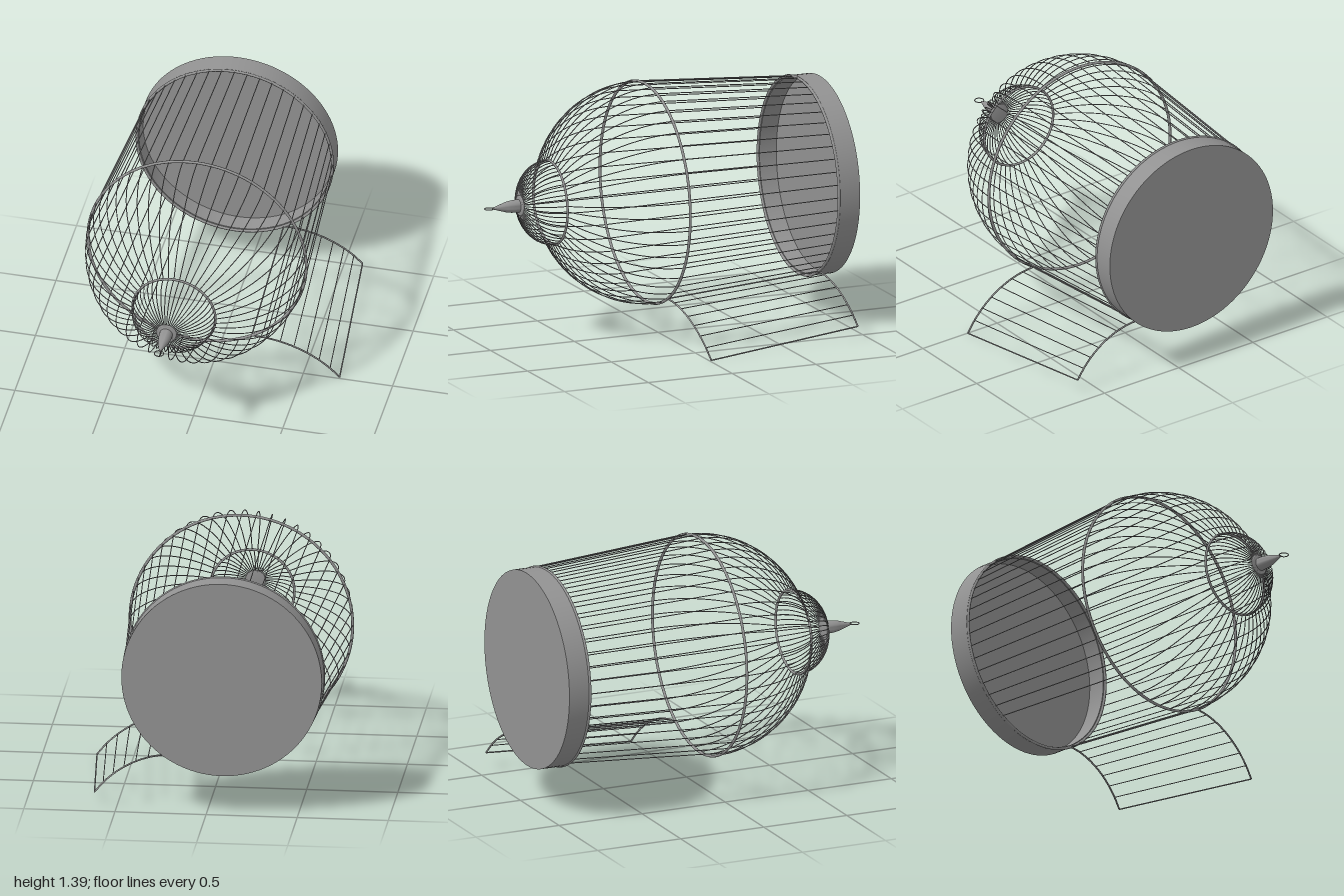
import * as THREE from 'three';
import { mergeGeometries, toCreasedNormals } from 'three/addons/utils/BufferGeometryUtils.js';

const COUNT = 48, STEP = (Math.PI * 2) / COUNT;
const WIRE = 0.0027;
const R_BASE = 0.548, Z_BASE = -0.875;   // where the bars meet the tray
const R_MID = 0.611, Z_MID = 0.04;       // widest hoop
const R_NECK = 0.232, Z_NECK = 0.605;    // hoop under the small dome
const HINGE = -Math.PI / 3, DOOR_BARS = 7;

const material = new THREE.MeshStandardMaterial({ color: 0x929292, side: THREE.DoubleSide });

export function createModel() {
  const model = new THREE.Group();
  model.name = 'birdcage';
  const cage = new THREE.Group();
  cage.name = 'cage';
  cage.position.set(-0.085, 0.775, 0);
  model.add(cage);

  const add = (name, geometry, parent = cage) => {
    const mesh = new THREE.Mesh(geometry, material);
    mesh.name = name;
    parent.add(mesh);
    return mesh;
  };
  // Point at a radius and angle around the cage axis (z)
  const polar = (r, a, z) => new THREE.Vector3(r * Math.cos(a), r * Math.sin(a), z);
  const rod = (a, b, r = WIRE) => new THREE.TubeGeometry(new THREE.LineCurve3(a, b), 1, r, 6);
  const wire = (points, r = WIRE) =>
    new THREE.TubeGeometry(new THREE.CatmullRomCurve3(points), 20, r, 6);
  const lathe = (pts, seg) => toCreasedNormals(
    new THREE.LatheGeometry(pts.map(p => new THREE.Vector2(...p)), seg).rotateX(Math.PI / 2), 0.6);
  const hoop = (name, r, z, tube) =>
    add(name, new THREE.TorusGeometry(r, tube, 8, 96).translate(0, 0, z));

  // Shallow tray with a thin wall
  add('baseTray', lathe([[0, -1], [0.55, -1], [0.55, -0.88], [0.537, -0.88],
    [0.537, -0.98], [0, -0.98]], 96));

  hoop('baseHoop', R_BASE, Z_BASE, 0.008);
  hoop('middleHoop', R_MID, Z_MID, 0.008);
  hoop('neckHoop', R_NECK, Z_NECK, 0.007);
  hoop('crownHoop', 0.05, 0.787, 0.007);

  // Bars, leaving the doorway open next to the hinge
  const side = [], dome = [], crown = [];
  const domeEnd = Math.acos(R_NECK / R_MID), crownEnd = Math.acos(0.05 / R_NECK);
  for (let i = 0; i < COUNT; i++) {
    const a = HINGE - i * STEP;
    if (i === 0 || i > DOOR_BARS) side.push(rod(polar(R_BASE, a, Z_BASE), polar(R_MID, a, Z_MID)));
    const big = [], small = [];
    for (let k = 0; k <= 8; k++) {
      const t = (domeEnd * k) / 8, u = (crownEnd * k) / 8;
      big.push(polar(R_MID * Math.cos(t), a, Z_MID + (Z_NECK - Z_MID) * Math.sin(t) / Math.sin(domeEnd)));
      small.push(polar(R_NECK * Math.cos(u), a, Z_NECK + 0.185 * Math.sin(u)));
    }
    dome.push(wire(big));
    crown.push(wire(small));
  }
  add('sideBars', mergeGeometries(side));
  add('domeBars', mergeGeometries(dome));
  add('crownBars', mergeGeometries(crown));

  // Pointed finial and hanging loop
  add('finial', lathe([[0, 0.775], [0.05, 0.78], [0.052, 0.792], [0.036, 0.796],
    [0.034, 0.84], [0.029, 0.87], [0.004, 0.952], [0, 0.953]], 24));
  add('hangingLoop', new THREE.TorusGeometry(0.025, 0.0028, 8, 32)
    .rotateX(Math.PI / 2).translate(0, 0, 0.972));

  // Door: built closed in the doorway, then swung open about the hinge bar
  const hingeBack = polar(R_BASE, HINGE, Z_BASE), hingeFront = polar(R_MID, HINGE, Z_MID);
  const axis = hingeFront.clone().sub(hingeBack).normalize();
  const door = new THREE.Group();
  door.name = 'door';
  door.position.copy(hingeFront);
  door.quaternion.setFromAxisAngle(axis, THREE.MathUtils.degToRad(149.5));
  cage.add(door);
  const bars = [], back = [], front = [];
  for (let i = 0; i <= DOOR_BARS; i++) {
    const a = HINGE - i * STEP;
    back.push(polar(R_BASE, a, Z_BASE).sub(hingeFront));
    front.push(polar(R_MID, a, Z_MID).sub(hingeFront));
    bars.push(rod(back[i], front[i], i % DOOR_BARS ? WIRE : 0.004));
  }
  add('doorBars', mergeGeometries(bars), door);
  add('doorFrameBack', wire(back, 0.005), door);
  add('doorFrameFront', wire(front, 0.005), door);

  return model;
}
